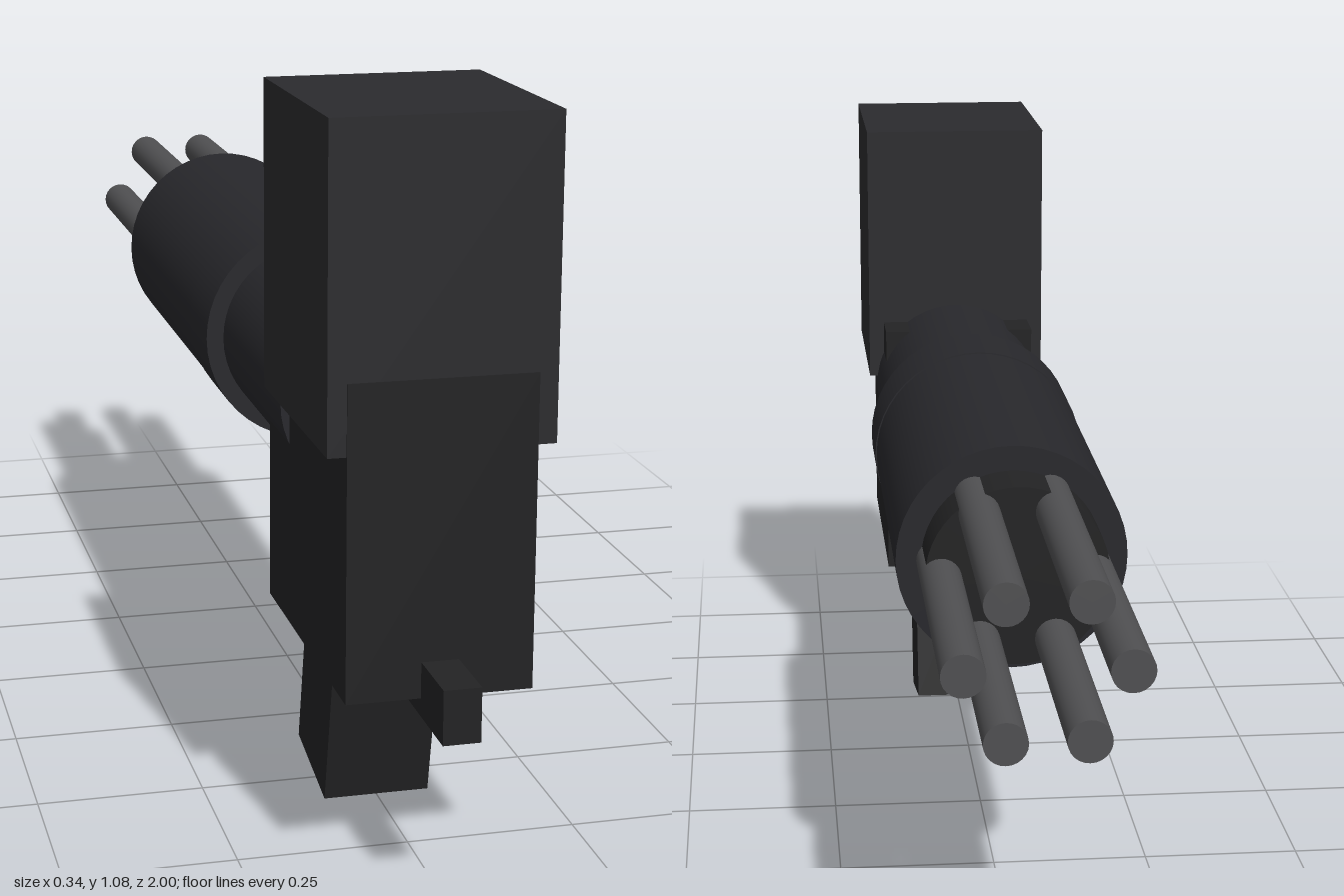
import * as THREE from 'three';

const AXIS_Y = 0.615; // height of the barrel axis

const mat = (color) => new THREE.MeshStandardMaterial({ color });
const body = mat(0x2b2b2e);
const dark = mat(0x232324);
const shroudMat = mat(0x28282c);
const steel = mat(0x505052);

export function createModel() {
  const model = new THREE.Group();

  const add = (name, geometry, material, x, y, z) => {
    const mesh = new THREE.Mesh(geometry, material);
    mesh.name = name;
    mesh.position.set(x, y, z);
    model.add(mesh);
    return mesh;
  };

  // Box from its y and z limits, centred on x
  const box = (name, material, width, y0, y1, z0, z1) =>
    add(name, new THREE.BoxGeometry(width, y1 - y0, z1 - z0), material, 0, (y0 + y1) / 2, (z0 + z1) / 2);

  // Cylinder lying along z between two limits
  const rod = (name, material, radius, z0, z1, x = 0, y = AXIS_Y, sides = 48) => {
    const geometry = new THREE.CylinderGeometry(radius, radius, z1 - z0, sides).rotateX(Math.PI / 2);
    return add(name, geometry, material, x, y, (z0 + z1) / 2);
  };

  // Housing blocks and the tab at the front
  box('upperHousing', body, 0.317, 0.63, 1.08, 0.525, 0.894);
  box('lowerHousing', dark, 0.264, 0.283, 0.73, 0.445, 0.896);
  box('frontTab', dark, 0.053, 0.257, 0.335, 0.71, 1.0);

  // Tilted grip
  const grip = add('grip', new THREE.BoxGeometry(0.16, 0.4, 0.168), dark, 0, 0.214, 0.539);
  grip.rotation.x = THREE.MathUtils.degToRad(12);

  // Neck, shroud with its collar, and hub
  rod('neck', shroudMat, 0.145, 0.17, 0.57);
  rod('collar', shroudMat, 0.172, 0.04, 0.175);
  rod('shroud', shroudMat, 0.17, -0.525, 0.04);
  rod('hub', dark, 0.133, -0.61, -0.525);

  // Ring of six rods
  for (let i = 0; i < 6; i++) {
    const a = (i * Math.PI) / 3;
    rod('barrelRod', steel, 0.03, -1.0, -0.525, 0.11 * Math.cos(a), AXIS_Y + 0.11 * Math.sin(a), 24);
  }

  return model;
}
